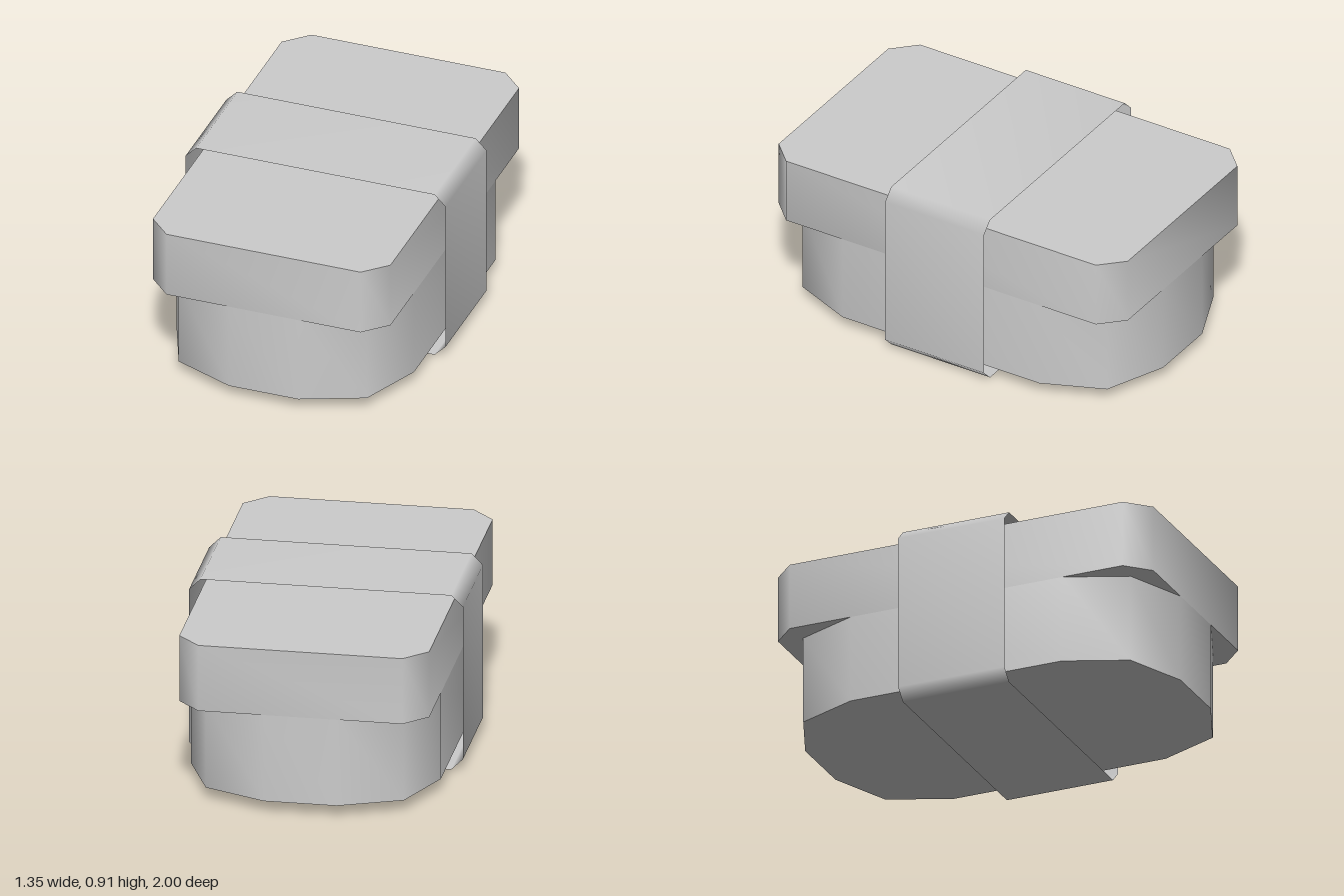
import * as THREE from 'three';
import { toCreasedNormals } from 'three/addons/utils/BufferGeometryUtils.js';

const grey = new THREE.MeshStandardMaterial({ color: 0xcccccc });
const greyThin = new THREE.MeshStandardMaterial({ color: 0xcccccc, side: THREE.DoubleSide });

// Counter-clockwise rectangle outline with corners rounded in a few straight steps
function outline(halfW, halfH, radius, steps) {
  const points = [];
  const corners = [[1, 1], [-1, 1], [-1, -1], [1, -1]];
  corners.forEach(([sx, sy], q) => {
    for (let i = 0; i <= steps; i++) {
      const a = (q + i / steps) * Math.PI / 2;
      points.push(new THREE.Vector2(
        sx * (halfW - radius) + radius * Math.cos(a),
        sy * (halfH - radius) + radius * Math.sin(a)));
    }
  });
  return points;
}

// Closed upright block between two heights, smooth around its walls
function block(name, points, y0, y1) {
  let geo = new THREE.ExtrudeGeometry(new THREE.Shape(points), { depth: y1 - y0, bevelEnabled: false });
  geo.rotateX(-Math.PI / 2).translate(0, y0, 0);
  geo = toCreasedNormals(geo, 0.9);
  const mesh = new THREE.Mesh(geo, grey);
  mesh.name = name;
  return mesh;
}

// Open sleeve running along z, with shared vertices for soft corners
function sleeve(name, points, halfDepth, centreY) {
  const positions = [], index = [], n = points.length;
  points.forEach((p) => {
    positions.push(p.x, p.y + centreY, halfDepth, p.x, p.y + centreY, -halfDepth);
  });
  for (let i = 0; i < n; i++) {
    const a = 2 * i, b = 2 * ((i + 1) % n);
    index.push(a, a + 1, b, b, a + 1, b + 1);
  }
  const geo = new THREE.BufferGeometry();
  geo.setAttribute('position', new THREE.Float32BufferAttribute(positions, 3));
  geo.setIndex(index);
  geo.computeVertexNormals();
  const mesh = new THREE.Mesh(geo, greyThin);
  mesh.name = name;
  return mesh;
}

export function createModel() {
  const model = new THREE.Group();
  model.name = 'bandedBox';
  model.add(
    // Base with broad rounded corners
    block('base', outline(0.617, 1, 0.437, 2), 0.06, 0.51),
    // Lid with small cut corners overhanging the base
    block('lid', outline(0.617, 1, 0.113, 1), 0.51, 0.852),
    // Thin band wrapped around the middle
    sleeve('band', outline(0.676, 0.455, 0.057, 1), 0.283, 0.455));
  return model;
}
